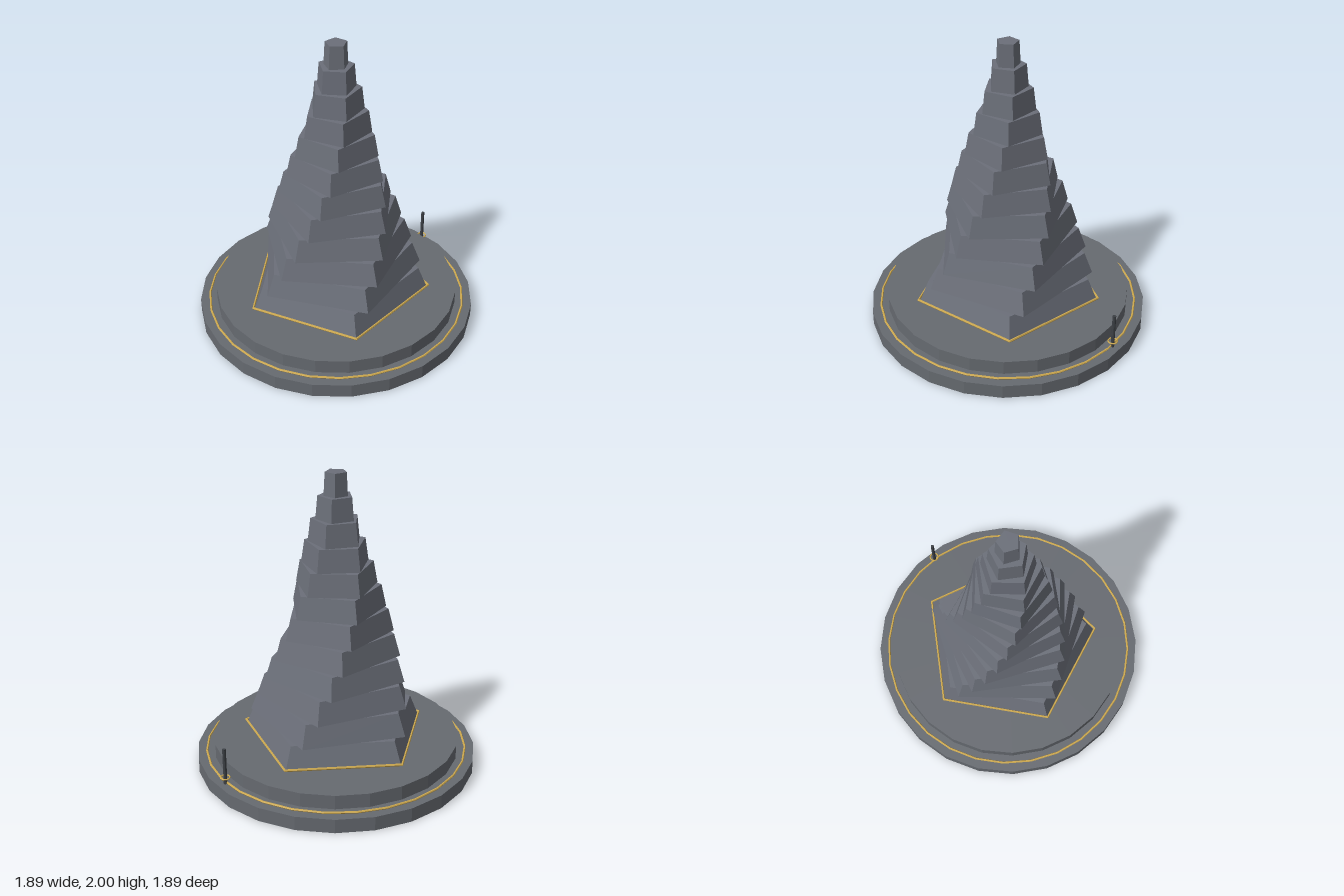
import * as THREE from 'three';

const material = (name, color) => {
  const m = new THREE.MeshStandardMaterial({ color, flatShading: true });
  m.name = name;
  return m;
};

export function createModel() {
  const model = new THREE.Group();
  model.name = 'twistedTower';
  const stone = material('base stone', 0x666a70);
  const slate = material('tower slate', 0x6b6f79);
  const gold = material('gold trim', 0xcda94f);
  const iron = material('dark iron', 0x3c4045);

  const add = (name, geometry, mat, x, y, z) => {
    const mesh = new THREE.Mesh(geometry, mat);
    mesh.name = name;
    mesh.position.set(x, y, z);
    model.add(mesh);
    return mesh;
  };
  // Horizontal ring with one corner pointing to the back
  const ring = (radius, tube, sides) =>
    new THREE.TorusGeometry(radius, tube, 6, sides).rotateZ(Math.PI / 2).rotateX(-Math.PI / 2);

  // Two round steps of the base
  add('lowerStep', new THREE.CylinderGeometry(0.945, 0.945, 0.095, 24), stone, 0, 0.0475, 0);
  add('upperStep', new THREE.CylinderGeometry(0.83, 0.83, 0.095, 24), stone, 0, 0.1425, 0);

  // Gold trims around the step and the tower foot
  add('stepTrim', ring(0.882, 0.0075, 28), gold, 0, 0.102, 0);
  add('footTrim', ring(0.64, 0.009, 5), gold, 0, 0.2, 0);

  // Twelve tapered pentagonal storeys, each turned nine degrees further
  const storeys = 12, bottom = 0.19, height = (2 - bottom) / storeys;
  for (let i = 0; i < storeys; i++) {
    const r = 0.63 - 0.05 * i;
    const storey = add(`storey${i + 1}`, new THREE.CylinderGeometry(r * 0.9, r, height, 5),
      slate, 0, bottom + height * (i + 0.5), 0);
    storey.rotation.y = Math.PI + THREE.MathUtils.degToRad(9 * i);
  }

  // Small post with a gold collar at the back
  add('post', new THREE.CylinderGeometry(0.012, 0.012, 0.25, 8), iron, 0.34, 0.22, -0.817);
  add('postCollar', ring(0.03, 0.005, 12), gold, 0.34, 0.14, -0.817);

  return model;
}
